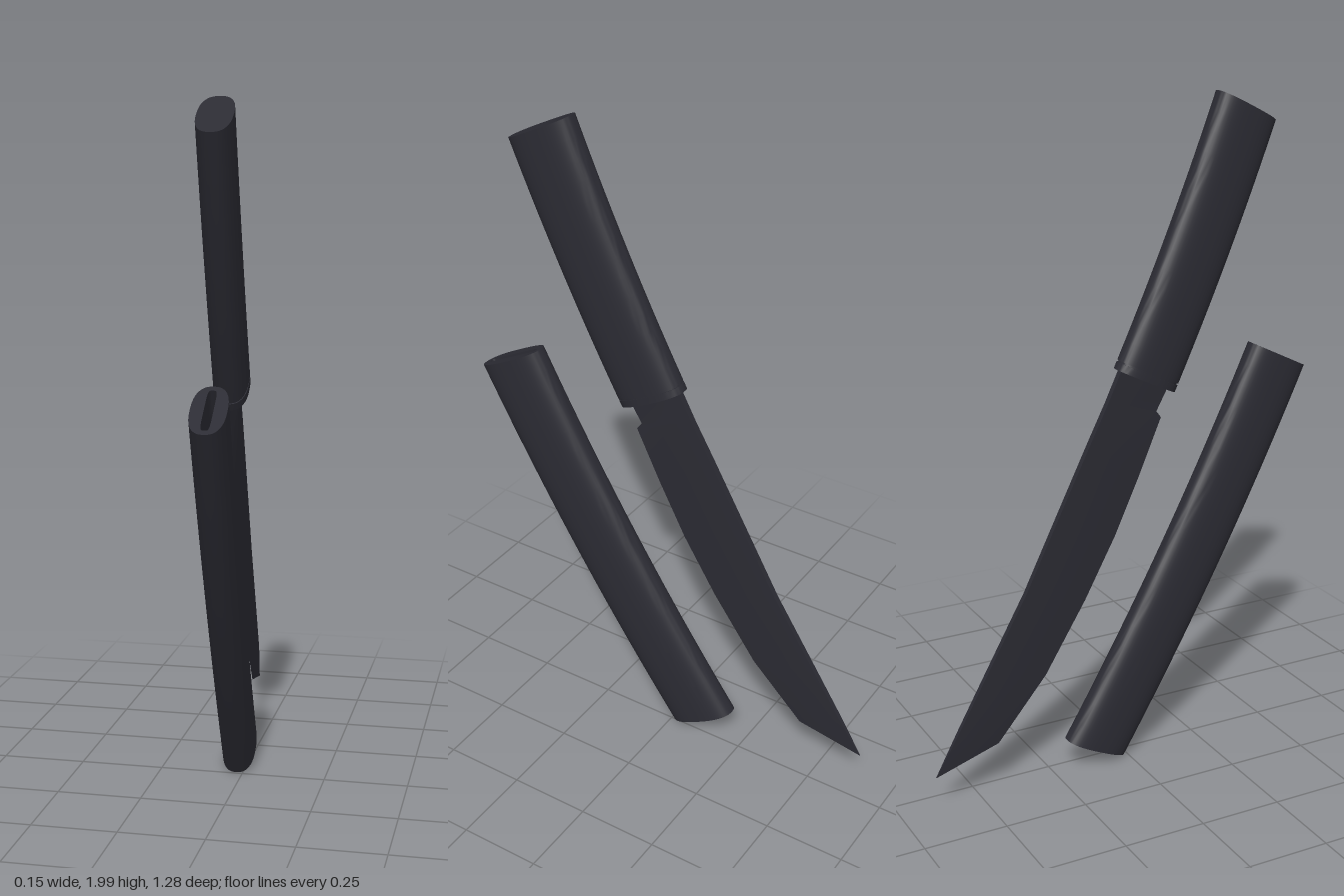
import * as THREE from 'three';
import { toCreasedNormals } from 'three/addons/utils/BufferGeometryUtils.js';

// Everything is laid out in the z-y plane, then turned slightly sideways.
const place = (x, y, z) => new THREE.Vector3(x + 0.08 * z - 0.02, y, z);

// Skin a series of equal-length rings and close both ends.
function loft(rings, crease = 0.6) {
  const n = rings[0].length;
  const points = rings.flat();
  const index = [];
  for (let s = 0; s < rings.length - 1; s++) {
    for (let i = 0; i < n; i++) {
      const a = s * n + i, b = s * n + ((i + 1) % n);
      index.push(a, a + n, b, b, a + n, b + n);
    }
  }
  const last = (rings.length - 1) * n;
  for (let i = 1; i < n - 1; i++) {
    index.push(0, i, i + 1);
    index.push(last, last + i + 1, last + i);
  }
  const geometry = new THREE.BufferGeometry().setFromPoints(points);
  geometry.setIndex(index);
  return toCreasedNormals(geometry, crease);
}

// Gently bowed centre line between two [z, y] points.
const bowed = (from, to, sag) => (t) => {
  const bow = 4 * sag * t * (1 - t);
  return [
    THREE.MathUtils.lerp(from[0], to[0], t) + 0.88 * bow,
    THREE.MathUtils.lerp(from[1], to[1], t) - 0.47 * bow,
  ];
};

// Rounded oval ring across the centre line; a and b are its half sizes.
function oval([z, y], a, b, power = 2.5) {
  const ring = [];
  const soft = (v) => Math.sign(v) * Math.pow(Math.abs(v), 2 / power);
  for (let i = 0; i < 48; i++) {
    const angle = (i / 48) * Math.PI * 2;
    const u = a * soft(Math.cos(angle));
    ring.push(place(b * soft(Math.sin(angle)), y - 0.44 * u, z + 0.898 * u));
  }
  return ring;
}

const steps = (from, to, count) =>
  Array.from({ length: count + 1 }, (_, i) => from + ((to - from) * i) / count);

export function createModel() {
  const model = new THREE.Group();
  const charcoal = new THREE.MeshStandardMaterial({ color: 0x2b2b33 });
  charcoal.name = 'charcoal';
  const add = (name, geometry) => {
    const mesh = new THREE.Mesh(geometry, charcoal);
    mesh.name = name;
    model.add(mesh);
  };

  // Handle, with a fine groove before its collar
  const grip = bowed([0.411, 1.95], [0.069, 1.187], 0.01);
  const gripRing = (t, scale = 1) => oval(grip(t), 0.109 * scale, 0.05 * scale);
  add('handle', loft(steps(0, 0.968, 14).map((t) => gripRing(t))));
  add('handleGroove', loft([gripRing(0.96, 0.96), gripRing(0.98, 0.96)]));
  add('handleCollar', loft([gripRing(0.974), gripRing(1)]));

  // Sheath, one skin from the bottom of the slot over the rim to the closed end
  const scabbard = bowed([0.546, 1.198], [-0.106, 0.053], 0.022);
  add('sheath', loft([
    ...steps(0.9, 0, 12).map((t) => oval(scabbard(t), 0.09, 0.013, 5)),
    ...steps(0, 1, 20).map((t) => oval(scabbard(t), 0.109, 0.05)),
  ]));

  // Blade stations: spine z, spine y, edge z, edge y, half thickness
  const stations = [
    [-0.005, 1.25, 0.16, 1.17, 0.01],
    [-0.052, 1.155, 0.111, 1.086, 0.01],
    [-0.062, 1.135, 0.127, 1.065, 0.01],
    [-0.122, 1.023, 0.053, 0.901, 0.01],
    [-0.228, 0.821, -0.032, 0.726, 0.0095],
    [-0.339, 0.609, -0.136, 0.545, 0.009],
    [-0.472, 0.387, -0.273, 0.337, 0.008],
    [-0.567, 0.228, -0.435, 0.159, 0.007],
    [-0.64, 0.107, -0.639, 0.106, 0.001],
  ];
  add('blade', loft(stations.map(([sz, sy, ez, ey, h]) => {
    const at = (k, x) => place(x, sy + (ey - sy) * k, sz + (ez - sz) * k);
    return [at(1, 0), at(0.5, h), at(0, h), at(0, -h), at(0.5, -h)];
  }), 0.25));

  return model;
}
